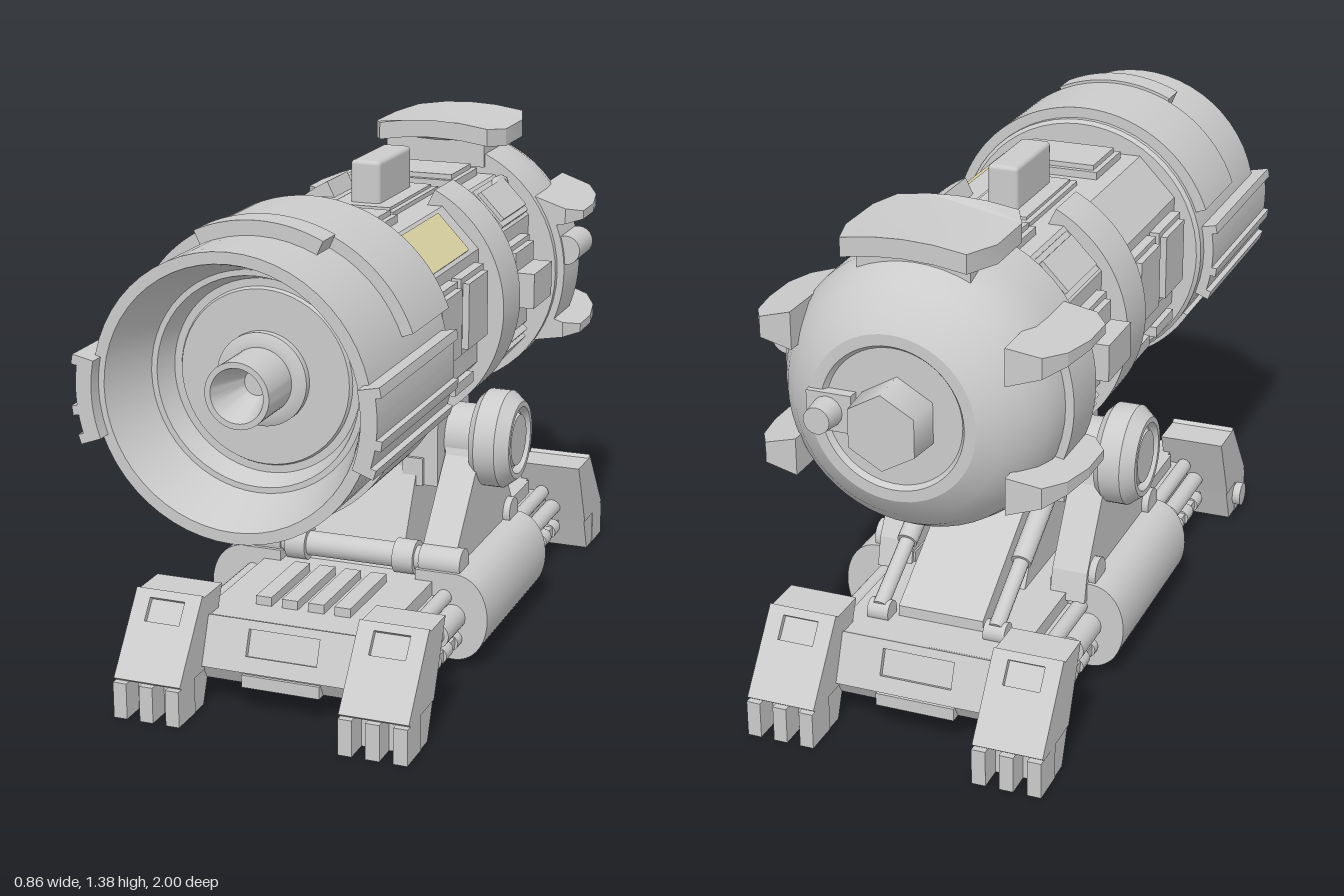
import * as THREE from 'three';
import { toCreasedNormals } from 'three/addons/utils/BufferGeometryUtils.js';
import { RoundedBoxGeometry } from 'three/addons/geometries/RoundedBoxGeometry.js';

const grey = new THREE.MeshStandardMaterial({ color: 0xcccccc, side: THREE.DoubleSide });
const yellow = new THREE.MeshStandardMaterial({ color: 0xdfd7a6 });

function add(parent, name, geo, x = 0, y = 0, z = 0, mat = grey) {
  const m = new THREE.Mesh(geo, mat);
  m.name = name;
  m.position.set(x, y, z);
  parent.add(m);
  return m;
}
// box given by its ranges
const box = (p, name, x0, x1, y0, y1, z0, z1) =>
  add(p, name, new THREE.BoxGeometry(x1 - x0, y1 - y0, z1 - z0), (x0 + x1) / 2, (y0 + y1) / 2, (z0 + z1) / 2);
// profile of [radius, z] turned about the z axis, z ascending on the outside
function turned(p, name, pts, seg = 48) {
  const g = new THREE.LatheGeometry(pts.map(a => new THREE.Vector2(a[0], a[1])), seg);
  return add(p, name, toCreasedNormals(g.rotateX(Math.PI / 2), 0.5));
}
const shapeOf = pts => new THREE.Shape(pts.map(a => new THREE.Vector2(a[0], a[1])));
const extrude = (shape, depth) => new THREE.ExtrudeGeometry(shape, { depth, bevelEnabled: false, curveSegments: 24 });
// outline in x,y pushed along z
const prismZ = (p, name, shape, z0, z1) => add(p, name, toCreasedNormals(extrude(shape, z1 - z0), 0.4), 0, 0, z0);
// outline in z,y pushed along x
const prismX = (p, name, pts, x0, x1) => add(p, name, extrude(shapeOf(pts), x1 - x0).rotateY(-Math.PI / 2), x1);
// curved plate about the z axis, angles in degrees
function arcPlate(p, name, r0, r1, a0, a1, z0, z1) {
  const s = new THREE.Shape(), d = Math.PI / 180;
  s.absarc(0, 0, r1, a0 * d, a1 * d, false);
  s.absarc(0, 0, r0, a1 * d, a0 * d, true);
  return prismZ(p, name, s, z0, z1);
}
function cylX(p, name, r, x0, x1, y, z, seg = 32) {
  return add(p, name, new THREE.CylinderGeometry(r, r, x1 - x0, seg).rotateZ(Math.PI / 2), (x0 + x1) / 2, y, z);
}
function rod(p, name, r, a, b, seg = 16) {
  const A = new THREE.Vector3(...a), B = new THREE.Vector3(...b), d = B.clone().sub(A);
  const m = add(p, name, new THREE.CylinderGeometry(r, r, d.length(), seg));
  m.position.copy(A).add(B).multiplyScalar(0.5);
  m.quaternion.setFromUnitVectors(new THREE.Vector3(0, 1, 0), d.normalize());
}
// raised panel with a stepped rim, facing +y before turning
function panel(p, name, w, l, h, x, y, z, turn) {
  const g = new THREE.Group();
  g.name = name;
  g.position.set(x, y, z);
  g.rotation.z = turn;
  box(g, name + 'Base', -w / 2, w / 2, -0.02, h * 0.6, -l / 2, l / 2);
  box(g, name + 'Face', -w / 2 + 0.015, w / 2 - 0.015, -0.02, h, -l / 2 + 0.015, l / 2 - 0.015);
  p.add(g);
}
// sloping face plate with a rectangular window, facing d along z
function windowPlate(p, name, w, h, hw, hh, hy, tilt, d, x, y, z) {
  const rect = (a, b, c) => [[-a, c - b], [a, c - b], [a, c + b], [-a, c + b]];
  const s = shapeOf(rect(w / 2, h / 2, 0));
  s.holes.push(shapeOf(rect(hw / 2, hh / 2, hy)));
  const g = extrude(s, 0.015).rotateX(-tilt);
  add(p, name, d < 0 ? g.rotateY(Math.PI) : g, x, y, z);
}

function buildBarrel() {
  const b = new THREE.Group();
  b.name = 'barrel';
  b.position.y = 0.95;
  // eight-sided body
  prismZ(b, 'body', shapeOf([[0.18, 0.28], [-0.18, 0.28], [-0.285, 0.17], [-0.285, -0.15],
    [-0.18, -0.27], [0.18, -0.27], [0.285, -0.15], [0.285, 0.17]]), -0.54, 0.44);
  // muzzle with bore and nozzle
  turned(b, 'muzzle', [[0, 0.41], [0.355, 0.41], [0.365, 0.42], [0.365, 0.96], [0.335, 0.96], [0.325, 0.93], [0.285, 0.8],
    [0.27, 0.8], [0.25, 0.74], [0.23, 0.74], [0.225, 0.75], [0.12, 0.75], [0.12, 0.77], [0.1, 0.78], [0.085, 0.78],
    [0.085, 0.92], [0.07, 0.92], [0.032, 0.8], [0, 0.8]], 56);
  arcPlate(b, 'muzzleTopPlate', 0.35, 0.395, 20, 160, 0.435, 0.7);
  arcPlate(b, 'muzzleTopLip', 0.35, 0.403, 65, 115, 0.7, 0.78);
  for (const a of [[212, 246], [294, 328]]) arcPlate(b, 'muzzleLowPlate', 0.35, 0.378, a[0], a[1], 0.45, 0.76);
  // rear dome
  turned(b, 'rearDome', [[0, -0.9], [0.18, -0.9], [0.19, -0.915], [0.22, -0.915], [0.275, -0.88], [0.32, -0.83], [0.352, -0.775],
    [0.367, -0.72], [0.37, -0.65], [0.37, -0.52], [0.25, -0.52]], 56);
  add(b, 'rearHexKnob', new THREE.CylinderGeometry(0.1, 0.107, 0.1, 6).rotateX(-Math.PI / 2), -0.01, 0, -0.95);
  box(b, 'rearBracket', 0.1, 0.22, -0.05, 0.05, -0.93, -0.87);
  add(b, 'rearKnob', new THREE.CylinderGeometry(0.035, 0.042, 0.07, 16).rotateX(-Math.PI / 2), 0.165, 0, -0.955);
  // bowed armour plate above the dome, corners cut
  const rim = [[-0.165, -0.49], [-0.2, -0.56], [-0.2, -0.72], [-0.165, -0.83], [-0.08, -0.83], [0, -0.83], [0.08, -0.83],
    [0.165, -0.83], [0.2, -0.72], [0.2, -0.56], [0.165, -0.49], [0.08, -0.49], [0, -0.49], [-0.08, -0.49]];
  const plate = extrude(shapeOf(rim), 0.05).rotateX(Math.PI / 2), pp = plate.attributes.position;
  for (let i = 0; i < pp.count; i++) pp.setY(i, pp.getY(i) - 0.6 * pp.getX(i) ** 2);
  add(b, 'domeTopPlate', toCreasedNormals(plate, 0.4), 0, 0.432, 0);
  box(b, 'domeTopBlock', -0.15, 0.15, 0.3, 0.375, -0.77, -0.51);
  for (const s of [-1, 1]) {
    const mid = s > 0 ? 0 : 180;
    arcPlate(b, 'domeSidePlate', 0.34, 0.39, mid - 24, mid + 24, -0.7, -0.54);
    // wedge fins, thick at the dome and thin at the tip
    for (const u of [-1, 1]) {
      const g = extrude(shapeOf([[0.28, -0.88], [0.37, -0.87], [0.41, -0.8], [0.43, -0.7], [0.43, -0.59], [0.39, -0.54], [0.28, -0.54]]), 1)
        .rotateX(Math.PI / 2).translate(0, 0.5, 0);
      const q = g.attributes.position;
      for (let i = 0; i < q.count; i++) {
        const t = (q.getX(i) - 0.28) / 0.15;
        q.setY(i, 0.175 - 0.01 * t + q.getY(i) * (0.1 - 0.075 * t));
      }
      g.rotateZ((s > 0 ? 0 : Math.PI)).translate(0, s > 0 ? 0 : 0.35 - 0.02 * 0.5, 0);
      if (u < 0) g.rotateZ(Math.PI).rotateY(Math.PI).scale(1, 1, -1).scale(-1, 1, 1);
      g.computeVertexNormals();
      add(b, 'domeFin', g);
    }
    // curved muzzle side rail with raised edges
    arcPlate(b, 'sideRail', 0.35, 0.392, mid - (s > 0 ? 20 : 12), mid + (s > 0 ? 12 : 20), 0.45, 1.0);
    for (const a of [-18.5, -8, 10.5]) arcPlate(b, 'sideRailEdge', 0.35, 0.407, mid + s * a - 1.8, mid + s * a + 1.8, 0.45, 1.0);
    // saddle band
    arcPlate(b, 'saddleBand', 0.26, 0.36, s > 0 ? -60 : 116, s > 0 ? 64 : 240, -0.21, -0.06);
    // body panels: flat sides, upper and lower slopes
    const t = -s * Math.PI / 2;
    panel(b, 'sidePanelFront', 0.21, 0.19, 0.045, s * 0.285, 0.035, 0.285, t);
    panel(b, 'sidePanelMiddle', 0.21, 0.19, 0.045, s * 0.285, 0.035, 0.07, t);
    panel(b, 'sidePanelRear', 0.2, 0.2, 0.045, s * 0.285, 0.03, -0.345, t);
    box(b, 'sideBox', s * 0.345 - 0.04, s * 0.345 + 0.04, -0.04, 0.06, -0.43, -0.26);
    for (const z of [0.3, 0.09]) box(b, 'sideVent', s * 0.27 - 0.03, s * 0.27 + 0.03, -0.185, -0.155, z - 0.075, z + 0.075);
    panel(b, 'upperRearPanel', 0.13, 0.24, 0.03, s * 0.235, 0.225, -0.37, -s * 0.8);
    panel(b, 'lowerRearPanel', 0.15, 0.24, 0.03, s * 0.235, -0.208, -0.37, -s * 2.3);
  }
  rod(b, 'sideCapsule', 0.043, [0.39, 0.065, -0.69], [0.39, 0.065, -0.55], 20);
  const patch = add(b, 'paintPatch', new THREE.BoxGeometry(0.13, 0.012, 0.3), 0.233, 0.226, 0.16, yellow);
  patch.rotation.z = -0.81;
  // top fittings
  panel(b, 'topPanelFront', 0.27, 0.2, 0.035, 0, 0.28, 0.27, 0);
  panel(b, 'topPanelRear', 0.27, 0.2, 0.035, 0, 0.28, -0.395, 0);
  panel(b, 'topPanelMiddle', 0.2, 0.36, 0.02, 0, 0.28, -0.07, 0);
  add(b, 'sightBlock', new RoundedBoxGeometry(0.085, 0.13, 0.25, 2, 0.012), 0, 0.35, -0.065);
  const curve = new THREE.CatmullRomCurve3([[0.21, 0.24, -0.53], [0.21, 0.27, -0.5], [0.21, 0.27, -0.42], [0.21, 0.23, -0.38]]
    .map(a => new THREE.Vector3(...a)));
  add(b, 'hose', new THREE.TubeGeometry(curve, 16, 0.014, 8));
  return b;
}

function buildMount() {
  const m = new THREE.Group();
  m.name = 'mount';
  const y = 0.565, z = -0.125;
  cylX(m, 'axle', 0.09, -0.32, 0.32, y, z);
  box(m, 'yoke', -0.2, 0.2, 0.45, 0.72, -0.25, 0.02);
  for (const x of [-0.13, 0, 0.13]) box(m, 'yokeRib', x - 0.03, x + 0.03, 0.45, 0.53, 0.0, 0.03);
  // sloping centre plates
  prismX(m, 'centrePlate', [[0.16, 0.22], [0.02, 0.5], [-0.24, 0.5], [-0.4, 0.22]], -0.14, 0.14);
  prismX(m, 'rearSlope', [[-0.22, 0.5], [-0.27, 0.5], [-0.64, 0.27], [-0.64, 0.22], [-0.58, 0.22], [-0.22, 0.45]], -0.12, 0.12);
  for (const s of [-1, 1]) {
    const wheel = turned(m, 'pivotWheel', [[0, 0.28], [0.12, 0.28], [0.138, 0.3], [0.138, 0.36], [0.11, 0.395], [0.095, 0.395],
      [0.085, 0.375], [0.078, 0.375], [0.072, 0.39], [0, 0.39]], 40);
    wheel.rotation.y = s * Math.PI / 2;
    wheel.position.set(0, y, z);
    prismX(m, 'supportArm', [[0.2, 0.22], [0.17, 0.3], [-0.03, 0.53], [-0.06, 0.62], [-0.19, 0.62], [-0.22, 0.5], [-0.35, 0.3], [-0.37, 0.22]],
      s * 0.255 - 0.05, s * 0.255 + 0.05);
    for (const bz of [0.15, -0.3]) cylX(m, 'armBoss', 0.042, s * 0.265 - 0.06, s * 0.265 + 0.06, 0.285, bz, 24);
    cylX(m, 'crossRodCollar', 0.048, s * 0.16 - 0.03, s * 0.16 + 0.03, 0.285, 0.15, 24);
    // rear pistons
    rod(m, 'pistonSleeve', 0.028, [s * 0.165, 0.5, -0.26], [s * 0.165, 0.375, -0.48]);
    rod(m, 'pistonRod', 0.021, [s * 0.165, 0.39, -0.45], [s * 0.165, 0.27, -0.66]);
    cylX(m, 'pistonFoot', 0.03, s * 0.165 - 0.03, s * 0.165 + 0.03, 0.255, -0.65, 20);
  }
  cylX(m, 'crossRod', 0.035, -0.25, 0.25, 0.285, 0.15, 24);
  return m;
}

function buildBase() {
  const b = new THREE.Group();
  b.name = 'base';
  box(b, 'chassis', -0.29, 0.29, 0.06, 0.2, -0.75, 0.6);
  box(b, 'deck', -0.25, 0.25, 0.19, 0.24, -0.7, 0.56);
  for (let i = 0; i < 4; i++) box(b, 'deckSlat', -0.135 + i * 0.075, -0.09 + i * 0.075, 0.23, 0.265, 0.25, 0.52);
  for (const d of [1, -1]) {
    const Z = v => -0.07 + d * v;
    const side = (name, pts, x, w) => prismX(b, name, pts.map(p => [Z(p[0]), p[1]]), x - w, x + w);
    // end block with recessed hatch
    side('endBlock', [[0.5, 0.06], [0.72, 0.07], [0.744, 0.11], [0.694, 0.24], [0.5, 0.24]], 0, 0.24);
    windowPlate(b, 'endHatch', 0.48, 0.139, 0.2, 0.072, 0.01, 0.367, d, 0, 0.175, Z(0.719));
    box(b, 'endSlot', -0.11, 0.11, 0.07, 0.105, Z(0.735) - 0.015, Z(0.735) + 0.015);
    for (const s of [-1, 1]) {
      const x = s * 0.315;
      // foot: sloping block with a window, on three toes
      side('foot', [[0.881, 0.1], [0.731, 0.3], [0.62, 0.3], [0.705, 0.1]], x, 0.095);
      windowPlate(b, 'footWindow', 0.19, 0.25, 0.1, 0.065, 0.069, 0.6435, d, x, 0.2, Z(0.806));
      side('footHeel', [[0.83, 0], [0.83, 0.1], [0.705, 0.1], [0.745, 0]], x, 0.092);
      for (const k of [-1, 0, 1]) side('footToe', [[0.9, 0], [0.9, 0.1], [0.8, 0.1], [0.8, 0]], x + k * 0.075, 0.019);
    }
  }
  for (const s of [-1, 1]) {
    // side drum and rails
    const drum = new THREE.Shape();
    drum.moveTo(s * 0.2, 0.02);
    drum.lineTo(s * 0.32, 0.02);
    drum.bezierCurveTo(s * 0.44, 0.03, s * 0.44, 0.26, s * 0.32, 0.27);
    drum.lineTo(s * 0.2, 0.27);
    prismZ(b, 'sideDrum', drum, -0.35, 0.2);
    rod(b, 'sideTube', 0.025, [s * 0.31, 0.145, -0.76], [s * 0.31, 0.145, 0.62]);
    rod(b, 'upperTube', 0.022, [s * 0.285, 0.2, -0.72], [s * 0.285, 0.2, 0.58]);
    for (const c of [0.27, -0.42]) rod(b, 'tubeSleeve', 0.037, [s * 0.31, 0.145, c - 0.07], [s * 0.31, 0.145, c + 0.07]);
    box(b, 'lugRail', s * 0.305 - 0.025, s * 0.305 + 0.025, 0.07, 0.1, -0.76, 0.62);
    for (let i = 0; i < 15; i++) {
      const lz = -0.72 + i * 0.093;
      rod(b, 'railLug', 0.024, [s * 0.315, 0.083, lz - 0.027], [s * 0.315, 0.083, lz + 0.027], 12);
    }
  }
  cylX(b, 'sidePin', 0.035, -0.43, -0.38, 0.055, 0.74, 20);
  return b;
}

export function createModel() {
  const model = new THREE.Group();
  model.name = 'turret';
  model.add(buildBarrel(), buildMount(), buildBase());
  return model;
}
